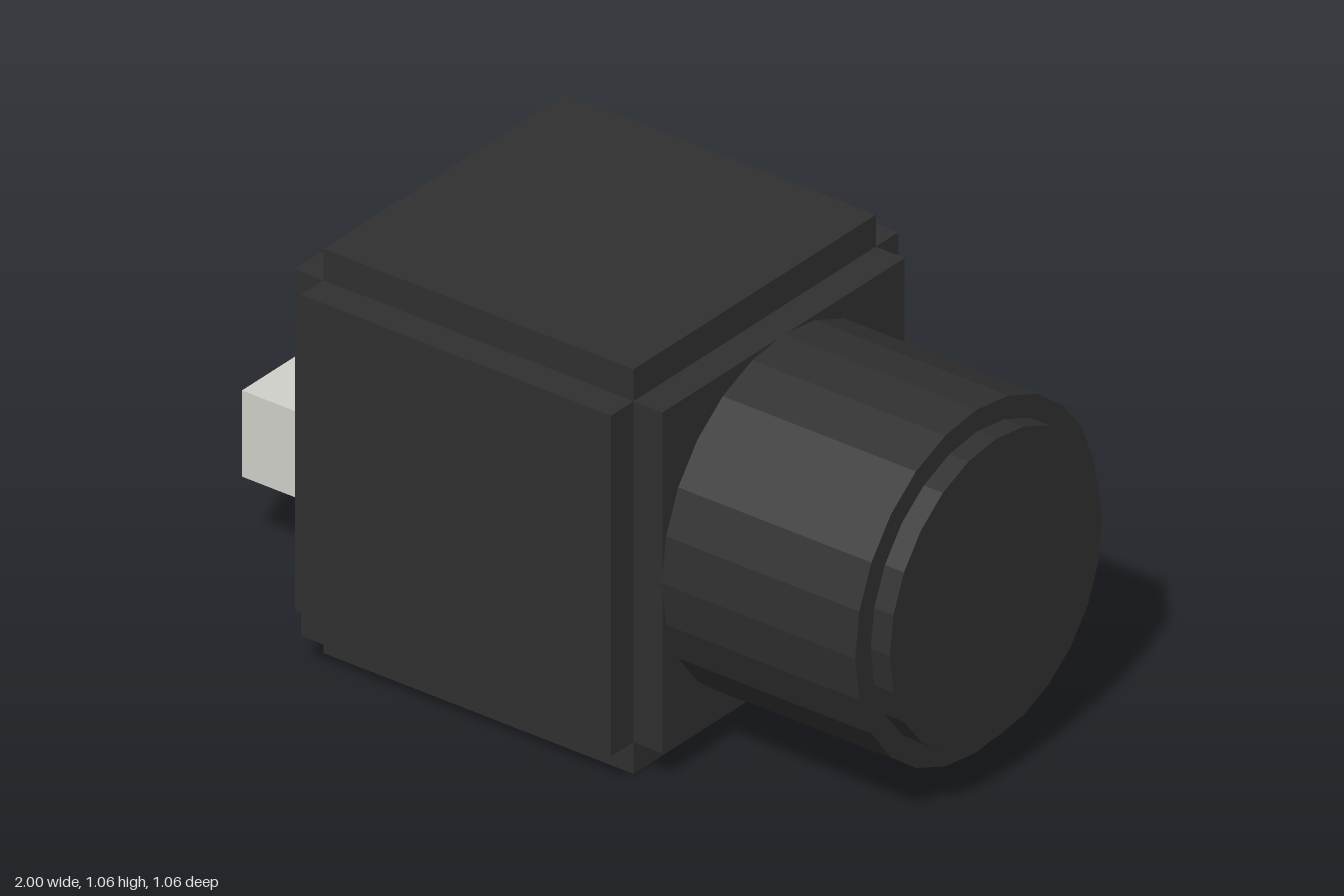
import * as THREE from 'three';

export function createModel() {
  const model = new THREE.Group();
  const black = new THREE.MeshStandardMaterial({ color: 0x303030 });
  black.name = 'black casing';
  const grey = new THREE.MeshStandardMaterial({ color: 0xd0d0ca });
  grey.name = 'light grey plug';

  const midY = 0.53;
  const bodyX = -0.138;

  function add(name, geometry, material, x, y) {
    const mesh = new THREE.Mesh(geometry, material);
    mesh.name = name;
    mesh.position.set(x, y, 0);
    model.add(mesh);
  }

  // Cubic housing: three crossed blocks leave a raised panel on every face
  const long = 1.056;
  const short = 0.89;
  ['sidePanels', 'topBottomPanels', 'frontBackPanels'].forEach((name, axis) => {
    const size = [short, short, short];
    size[axis] = long;
    add(name, new THREE.BoxGeometry(...size), black, bodyX, midY);
  });

  // Round barrel and its end cap, lying along x with faceted sides
  function barrel(name, radius, x0, x1) {
    const geometry = new THREE.CylinderGeometry(radius, radius, x1 - x0, 24)
      .rotateZ(-Math.PI / 2)
      .toNonIndexed();
    geometry.computeVertexNormals();
    add(name, geometry, black, (x0 + x1) / 2, midY);
  }
  barrel('barrel', 0.447, 0.38, 0.945);
  barrel('endCap', 0.39, 0.94, 1);

  // Rectangular plug on the opposite side
  add('plug', new THREE.BoxGeometry(0.34, 0.225, 0.424), grey, -0.83, 0.322);

  return model;
}
